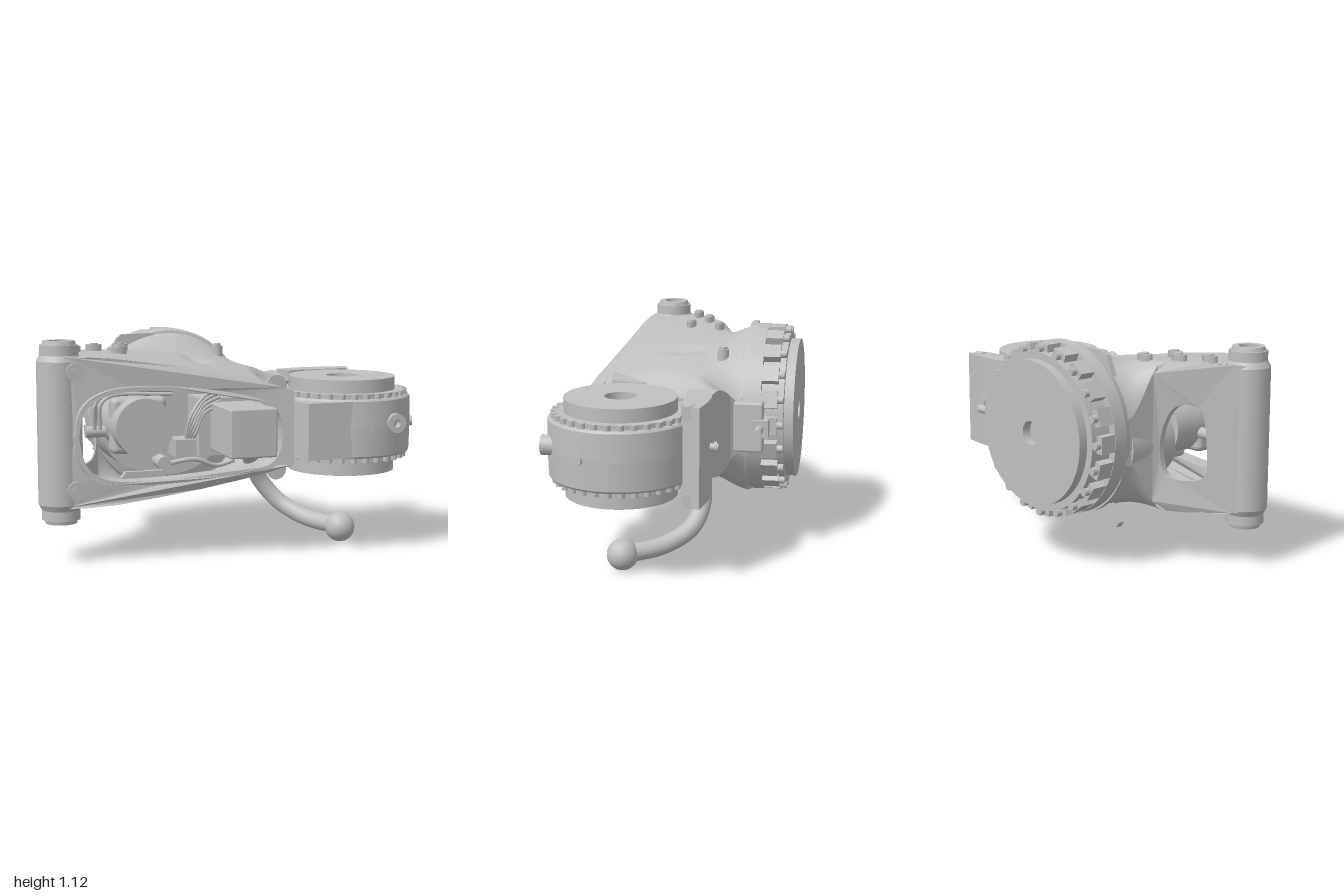
import * as THREE from 'three';
import { mergeGeometries } from 'three/addons/utils/BufferGeometryUtils.js';
import { RoundedBoxGeometry } from 'three/addons/geometries/RoundedBoxGeometry.js';
import { ParametricGeometry } from 'three/addons/geometries/ParametricGeometry.js';

const MID = 0.665;
// housing stations: x, back z, front z, half height
const ST = [
  [-0.95, 0.13, 0.29, 0.37], [-0.88, 0.07, 0.32, 0.378], [-0.75, -0.03, 0.335, 0.382],
  [-0.61, -0.14, 0.345, 0.378], [-0.595, -0.34, 0.346, 0.377], [-0.4, -0.34, 0.36, 0.363],
  [-0.2, -0.34, 0.38, 0.345], [0, -0.34, 0.408, 0.315], [0.15, -0.34, 0.435, 0.285],
  [0.24, -0.34, 0.452, 0.26], [0.275, -0.29, 0.46, 0.25], [0.285, -0.28, 0.2, 0.245],
  [0.35, -0.25, 0.03, 0.23], [0.45, -0.21, -0.08, 0.22], [0.57, -0.165, -0.125, 0.21],
];
const station = (s) => {
  const i = Math.min(Math.floor(s), ST.length - 2), f = s - i;
  return ST[i].map((a, k) => a + (ST[i + 1][k] - a) * f);
};
const atX = (x) => {
  let i = 0;
  while (i < ST.length - 2 && ST[i + 1][0] < x) i++;
  return station(i + THREE.MathUtils.clamp((x - ST[i][0]) / (ST[i + 1][0] - ST[i][0]), 0, 1));
};
// half height: falls toward the front edge and the drum, rises into the round rear neck
const half = (x, z, h0) => {
  const S = THREE.MathUtils.smoothstep;
  const sloped = h0 - 0.055 * S(x, -1, 0.2) * S(z, -0.1, 0.42);
  const h = 0.18 + (sloped - 0.18) * S(Math.hypot(x - 0.635, z - 0.22), 0.33, 0.5);
  const circle = Math.sqrt(Math.max(0.44 ** 2 - (x + 0.17) ** 2, 0.01));
  const w = (1 - S(z, -0.34, -0.1)) * (1 - S(x, 0.2, 0.42)) * S(x, -0.8, -0.6);
  return h + (circle - h) * w;
};
// shallow teardrop hollow in the roof
const hollow = (x, z) => 0.03 * Math.exp(-(((x + 0.11) / 0.05) ** 2) - ((z - 0.02) / 0.09) ** 2);

export function createModel() {
  const model = new THREE.Group();
  model.name = 'jointHousing';
  const metal = new THREE.MeshStandardMaterial({ color: 0xc0c0c0, side: THREE.DoubleSide });
  metal.name = 'light grey metal';

  const add = (name, geo, p = [0, 0, 0], r = [0, 0, 0]) => {
    const m = new THREE.Mesh(geo, metal);
    m.name = name;
    m.position.set(...p);
    m.rotation.set(...r);
    model.add(m);
    return m;
  };
  const cyl = (r, h, n = 32, r2 = r) => new THREE.CylinderGeometry(r, r2, h, n);
  const box = (x, y, z) => new THREE.BoxGeometry(x, y, z);
  const X = [0, 0, Math.PI / 2], Z = [Math.PI / 2, 0, 0];
  // sharp-edged lathe: each profile segment is its own surface
  const turned = (pts, n = 64) => mergeGeometries(pts.slice(1).map((p, i) =>
    new THREE.LatheGeometry([new THREE.Vector2(...pts[i]), new THREE.Vector2(...p)], n)));
  const v2 = (pts) => pts.map((p) => new THREE.Vector2(...p));
  const slab = (pts, depth) => new THREE.ExtrudeGeometry(new THREE.Shape(v2(pts)), { depth, bevelEnabled: false });
  const plan = (pts, y0, y1) => slab(pts, y1 - y0).rotateX(Math.PI / 2).translate(0, y1, 0);
  const ringOf = (n, part, radius) => mergeGeometries(Array.from({ length: n }, (_, i) =>
    part().translate(radius, 0, 0).rotateY((i / n) * Math.PI * 2)));

  // roof and floor skins
  for (const s of [1, -1]) {
    add(s > 0 ? 'roof' : 'floor', new ParametricGeometry((u, v, t) => {
      const [x, zb, zf, h] = station(u * (ST.length - 1));
      const z = zb + (zf - zb) * v;
      t.set(x, MID + s * (half(x, z, h) - (s > 0 ? hollow(x, z) : 0)), z);
    }, 84, 36));
  }
  // plain walls: k picks the back (1) or front (2) edge
  const skirt = (name, k, i0) => add(name, new ParametricGeometry((u, v, t) => {
    const st = station(i0 + u * (ST.length - 1 - i0));
    t.set(st[0], MID + (v * 2 - 1) * half(st[0], st[k], st[3]), st[k]);
  }, (ST.length - 1 - i0) * 5, 4));
  skirt('backWall', 1, 3);
  skirt('drumSideWall', 2, 10);
  add('leftEndWall', box(0.02, 0.72, 0.16), [-0.94, MID, 0.21]);

  // windowed walls, bent to the plan outline
  const bent = (shape, k, z0, depth) => {
    const g = new THREE.ExtrudeGeometry(shape, { depth, bevelEnabled: false });
    const p = g.attributes.position;
    for (let i = 0; i < p.count; i++) p.setZ(i, p.getZ(i) + z0 + atX(p.getX(i))[k]);
    g.computeVertexNormals();
    return g;
  };
  const outline = (x0, x1, k, n = 24) => {
    const top = [], bottom = [];
    for (let i = 0; i <= n; i++) {
      const x = x0 + (x1 - x0) * i / n, st = atX(x), h = half(x, st[k], st[3]);
      top.push([x, MID + h]);
      bottom.unshift([x, MID - h]);
    }
    return new THREE.Shape(v2([...top, ...bottom]));
  };
  const loop = (pts, n = 56) => new THREE.SplineCurve(v2([...pts, pts[0]])).getPoints(n).slice(0, -1);
  const opening = loop([[-0.82, 0.65], [-0.78, 0.79], [-0.62, 0.865], [-0.3, 0.865], [0.03, 0.815],
    [0.18, 0.75], [0.205, 0.6], [0.15, 0.49], [0, 0.46], [-0.35, 0.425], [-0.65, 0.425], [-0.78, 0.5]]);
  const front = outline(-0.95, 0.275, 2);
  front.holes.push(new THREE.Path(opening));
  add('frontWall', bent(front, 2, -0.06, 0.06));
  const c = new THREE.Vector2(-0.31, 0.65);
  const lip = new THREE.Shape(opening.map((p) =>
    new THREE.Vector2(c.x + (p.x - c.x) * 1.04, c.y + (p.y - c.y) * 1.1)));
  lip.holes.push(new THREE.Path(opening));
  add('windowLip', bent(lip, 2, 0, 0.035));
  const rear = outline(-0.95, -0.608, 1, 8);
  rear.holes.push(new THREE.Path(loop([[-0.81, 0.5], [-0.8, 0.72], [-0.77, 0.82], [-0.68, 0.82],
    [-0.63, 0.7], [-0.625, 0.55], [-0.66, 0.46], [-0.77, 0.45]], 32)));
  add('rearWindowWall', bent(rear, 1, 0, 0.03));

  // pivot tube on the right-hand edge
  add('pivotTube', turned([[0.05, 0.2], [0.08, 0.2], [0.085, 0.22], [0.097, 0.22], [0.097, 0.27], [0.113, 0.3],
    [0.113, 1.02], [0.097, 1.05], [0.097, 1.1], [0.085, 1.1], [0.08, 1.12], [0.05, 1.12], [0.05, 0.2]], 32),
  [-0.885, 0, 0.215]);
  for (const y of [0.97, 0.38]) {
    add('pivotBoss', cyl(0.045, 0.03, 24), [-0.83, y, 0.325], Z);
    add('pivotBossScrew', cyl(0.02, 0.04, 12), [-0.83, y, 0.327], Z);
  }

  // rear flange, teeth and bolts; built upright, then turned to face back
  const flange = new THREE.Group();
  flange.name = 'rearFlange';
  flange.position.set(-0.17, 0.68, 0);
  flange.rotation.x = -Math.PI / 2;
  model.add(flange);
  flange.add(
    add('flangeBody', turned([[0.36, 0.3], [0.435, 0.32], [0.445, 0.35], [0.445, 0.425], [0.405, 0.425], [0.405, 0.54],
      [0.368, 0.54], [0.368, 0.588], [0.06, 0.588], [0.06, 0.54], [0, 0.54]])),
    add('flangeTeeth', ringOf(20, () => box(0.05, 0.09, 0.088), 0.416), [0, 0.465, 0]),
    add('flangeBolts', ringOf(20, () => cyl(0.02, 0.05, 10), 0.418), [0, 0.515, 0]));
  add('flangeInnerPlate', new THREE.CircleGeometry(0.43, 48), [-0.17, 0.68, -0.33]);
  // square corner and tab beside the neck
  add('neckCorner', slab([[-0.5, 0.98], [-0.455, 1.08], [-0.43, 1.1], [-0.25, 1.105], [-0.25, 0.98]], 0.03), [0, 0, -0.34]);
  add('lowerTab', slab([[-0.52, 0.235], [-0.5, 0.207], [-0.46, 0.207], [-0.2, 0.25], [-0.2, 0.35], [-0.42, 0.35]], 0.035),
    [0, 0, -0.31]);
  add('tabBlock', box(0.12, 0.06, 0.06), [-0.25, 0.275, -0.26], [0, 0, 0.1]);
  // side connector block
  add('connectorBlock', new RoundedBoxGeometry(0.08, 0.26, 0.15, 2, 0.012), [0.28, 0.68, -0.37]);
  add('connectorCap', box(0.06, 0.09, 0.09), [0.31, 0.68, -0.43]);
  add('connectorRod', cyl(0.022, 0.12, 12), [0.38, 0.68, -0.43], X);

  // round joint drum
  const D = [0.635, 0, 0.22];
  add('jointDrum', turned([[0.27, 0.48], [0.325, 0.48], [0.325, 0.505], [0.35, 0.505], [0.358, 0.515], [0.362, 0.66],
    [0.358, 0.798], [0.35, 0.808], [0.325, 0.808], [0.325, 0.832], [0.27, 0.832]]), D);
  add('jointDisc', turned([[0.08, 0.405], [0.28, 0.405], [0.28, 0.9], [0.08, 0.9], [0.08, 0.405]]), D);
  for (const y of [0.494, 0.819]) {
    add('drumTeeth', ringOf(32, () => cyl(0.018, 0.03, 10), 0.326), [D[0], y, D[2]]);
  }
  add('drumCheek', plan([[0.26, 0.3], [0.275, 0.45], [0.31, 0.575], [0.56, 0.568], [0.5, 0.3]], 0.51, 0.8));
  add('drumPlug', turned([[0.02, 0.02], [0.02, 0.07], [0.05, 0.07], [0.05, -0.05]], 24), [0.795, 0.68, 0.51], Z);
  add('drumScrew', cyl(0.027, 0.02, 16), [0.635, 0.66, 0.575], Z);
  add('drumSideScrew', cyl(0.025, 0.02, 16), [0.972, 0.66, 0.36], [0, -0.4, Math.PI / 2]);

  // scoop behind the drum
  add('scoopFin', plan([[0.42, -0.19], [0.58, -0.225], [0.7, -0.222], [0.835, -0.2], [0.805, -0.115],
    [0.74, -0.1], [0.55, -0.1], [0.45, -0.08]], 0.4, 0.9));
  for (const y of [0.87, 0.435]) {
    add('finPort', cyl(0.036, 0.06, 20), [0.79, y, -0.15], X);
    add('sleeveCone', cyl(0.055, 0.17, 24, 0.006), [0.225, y, 0.255], Z);
  }
  add('scoopScrew', cyl(0.02, 0.06, 12), [0.635, 0.66, -0.235], Z);
  add('scoopScrewHead', cyl(0.028, 0.016, 6), [0.635, 0.66, -0.25], Z);

  // curved handle with a ball end
  const path = new THREE.CatmullRomCurve3([[0.22, 0.46, -0.07], [0.25, 0.4, -0.11], [0.31, 0.29, -0.14],
    [0.41, 0.17, -0.1], [0.52, 0.1, 0.03], [0.63, 0.082, 0.2]].map((p) => new THREE.Vector3(...p)));
  add('handle', new THREE.TubeGeometry(path, 28, 0.046, 16));
  add('handleBall', new THREE.SphereGeometry(0.08, 20, 14), [0.635, 0.08, 0.22]);

  // roof pads and nipple
  for (const [x, z] of [[-0.78, 0.05], [-0.65, -0.03], [-0.49, -0.11], [-0.54, 0.055]]) {
    const y = MID + half(x, z, atX(x)[3]);
    add('roofPad', cyl(0.045, 0.04, 6).scale(1, 1, 0.6), [x, y + 0.012, z]);
    add('roofPadScrew', cyl(0.02, 0.04, 12), [x, y + 0.018, z]);
  }
  add('roofNipple', cyl(0.03, 0.12, 16), [0.08, 0.975, -0.21]);
  add('roofNippleCap', cyl(0.02, 0.025, 12), [0.08, 1.035, -0.21]);

  // motor and electronics inside the window
  add('motor', cyl(0.15, 0.36, 40), [-0.48, 0.68, 0.17], Z);
  add('motorPlate', new RoundedBoxGeometry(0.29, 0.29, 0.1, 2, 0.03), [-0.48, 0.68, 0.2]);
  add('motorMount', cyl(0.21, 0.3, 32), [-0.4, 0.62, -0.15], Z);
  add('motorPlug', cyl(0.03, 0.1, 16), [-0.69, 0.645, 0.15], X);
  add('controlBox', new RoundedBoxGeometry(0.25, 0.25, 0.34, 2, 0.01), [0.035, 0.655, 0.363]);
  add('controlBracket', box(0.3, 0.3, 0.2), [0, 0.65, 0.1]);
  add('terminalBlock', box(0.11, 0.09, 0.14), [-0.25, 0.56, 0.23]);
  add('clampPost', cyl(0.035, 0.12, 16), [-0.36, 0.485, 0.22], Z);
  const cable = (pts, r) => add('cable', new THREE.TubeGeometry(
    new THREE.CatmullRomCurve3(pts.map((p) => new THREE.Vector3(...p))), 20, r, 8));
  for (let i = 0; i < 5; i++) {
    const d = i * 0.022;
    cable([[-0.24 + d * 0.4, 0.6, 0.25], [-0.22 + d * 0.3, 0.72 - d, 0.28], [-0.15, 0.81 - d, 0.26], [-0.04, 0.85 - d, 0.2]], 0.009);
  }
  for (let i = 0; i < 2; i++) {
    cable([[-0.7 + i * 0.03, 0.66, 0.18], [-0.7 + i * 0.03, 0.79, 0.2], [-0.62, 0.85 - i * 0.02, 0.2], [-0.3, 0.85 - i * 0.02, 0.2]], 0.01);
  }
  cable([[-0.34, 0.48, 0.26], [-0.2, 0.5, 0.28], [-0.08, 0.46, 0.27], [0.02, 0.48, 0.26]], 0.012);

  return model;
}
